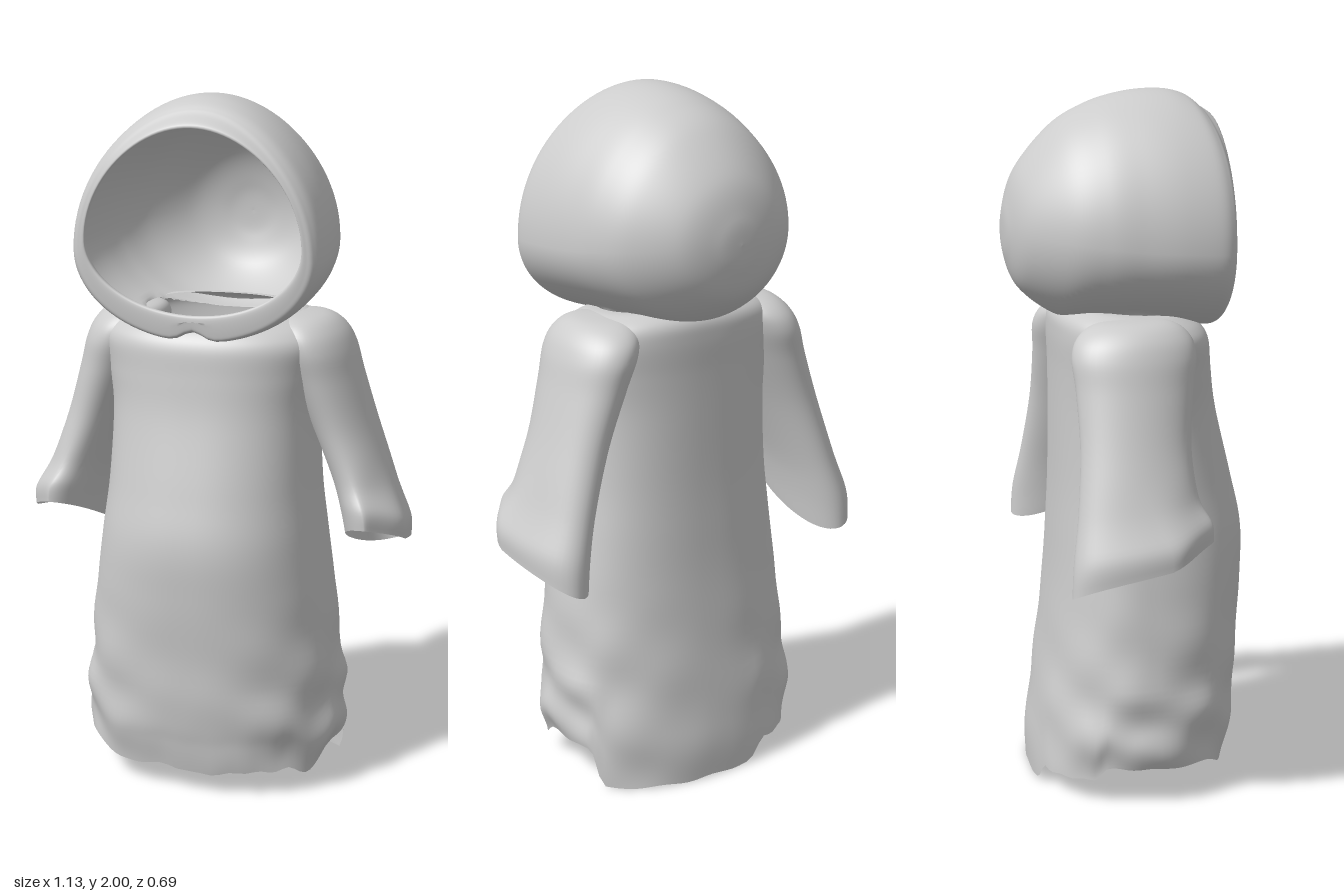
import * as THREE from 'three';

const cloth = new THREE.MeshStandardMaterial({ color: 0xcccccc, side: THREE.DoubleSide });
cloth.name = 'greyCloth';

// Smoothly interpolates every column of a list of rows, u in 0..1
function sampleRows(rows, u) {
  const f = u * (rows.length - 1);
  const i = Math.min(Math.floor(f), rows.length - 2);
  const t = f - i;
  const at = k => rows[Math.max(0, Math.min(rows.length - 1, k))];
  return rows[0].map((_, c) => {
    const [a, b, d, e] = [at(i - 1)[c], at(i)[c], at(i + 1)[c], at(i + 2)[c]];
    const m0 = (d - a) / 2, m1 = (e - b) / 2;
    return (2 * t ** 3 - 3 * t * t + 1) * b + (t ** 3 - 2 * t * t + t) * m0
      + (3 * t * t - 2 * t ** 3) * d + (t ** 3 - t * t) * m1;
  });
}

// Skins closed rings; point(row, angle) gives each vertex, skip(p) cuts holes
function loft(name, rows, steps, sides, point, skip = () => false) {
  const pts = [], index = [];
  for (let i = 0; i <= steps; i++) {
    const row = sampleRows(rows, i / steps);
    for (let j = 0; j < sides; j++) pts.push(point(row, (j / sides) * Math.PI * 2));
  }
  for (let i = 0; i < steps; i++) {
    for (let j = 0; j < sides; j++) {
      const a = i * sides + j, b = i * sides + (j + 1) % sides;
      const c = b + sides, d = a + sides;
      if ([a, b, c, d].every(k => skip(pts[k]))) continue;
      index.push(a, b, c, a, c, d);
    }
  }
  const geo = new THREE.BufferGeometry();
  geo.setAttribute('position', new THREE.Float32BufferAttribute(pts.flat(), 3));
  geo.setIndex(index);
  geo.computeVertexNormals();
  const mesh = new THREE.Mesh(geo, cloth);
  mesh.name = name;
  return mesh;
}

const power = (v, p) => Math.sign(v) * Math.abs(v) ** p;
const smooth = THREE.MathUtils.smoothstep;

// Ragged lower edge: high at the sides, longest at the back
function hemHeight(x, z) {
  const jag = 0.007 * Math.sin(x * 23 + z * 13) + 0.003 * Math.sin(x * 61 - z * 43);
  const back = smooth(-z, 0.12, 0.16);
  const trailing = back * smooth(x, -0.17, -0.1);
  const sides = 0.068 + 0.045 * smooth(Math.abs(x), 0.22, 0.38) * (1 - back);
  const corner = 0.06 * smooth(x, 0.27, 0.35) * smooth(z, 0.08, 0.18);
  return (sides - corner + jag) * (1 - trailing) + 0.003 * trailing * (1 + Math.sin(x * 40));
}

// Robe rows: y, half width, front z, back z
function makeRobe() {
  const rows = [
    [0, 0.375, 0.285, 0.28], [0.1, 0.385, 0.3, 0.278], [0.2, 0.382, 0.315, 0.268],
    [0.4, 0.368, 0.325, 0.242], [0.6, 0.345, 0.34, 0.222], [0.75, 0.325, 0.342, 0.213],
    [0.9, 0.307, 0.31, 0.207], [1.1, 0.3, 0.262, 0.205], [1.22, 0.315, 0.245, 0.205],
    [1.31, 0.33, 0.235, 0.207], [1.355, 0.305, 0.212, 0.2], [1.383, 0.25, 0.17, 0.17],
    [1.388, 0.21, 0.15, 0.14],
  ];
  return loft('robe', rows, 84, 96, ([y, w, front, back], a) => {
    const c = Math.cos(a);
    let x = w * power(Math.sin(a), 0.85);
    let z = (c > 0 ? front : back) * power(c, 0.85);
    // soft slanting folds, strongest low on the flanks
    const amount = 0.007 * (1 - smooth(y, 0.25, 0.65)) * (0.2 + 0.8 * Math.abs(Math.sin(a)));
    const fold = 1 + amount / w * (Math.sin(a * 4 + y * 26) + 0.5 * Math.sin(a * 7 - y * 19 + 1));
    x *= fold;
    z *= fold;
    const hem = hemHeight(x, z);
    // neckline dips a little towards the chest
    const dip = 0.07 * z * smooth(y, 1.25, 1.38);
    return [x, (y < 0.35 ? hem + y * (0.35 - hem) / 0.35 : y) - dip, z];
  });
}

// Sleeve rows: y, centre x, half width, centre z, half depth, tilt
function makeSleeve(side) {
  const rows = [
    [0.73, 0.475, 0.09, -0.047, 0.198, 0.35], [0.8, 0.467, 0.096, -0.045, 0.194, 0.26],
    [0.9, 0.43, 0.088, -0.05, 0.168, 0.12], [1.05, 0.375, 0.09, -0.045, 0.155, 0],
    [1.2, 0.32, 0.1, -0.035, 0.165, 0], [1.29, 0.288, 0.107, -0.03, 0.175, 0],
    [1.345, 0.265, 0.1, -0.025, 0.155, 0], [1.378, 0.25, 0.068, -0.02, 0.1, 0],
    [1.386, 0.24, 0, -0.02, 0, 0],
  ];
  return loft(side > 0 ? 'leftSleeve' : 'rightSleeve', rows, 48, 48,
    ([y, cx, w, cz, d, tilt], a) => {
      const s = Math.sin(a) * side, c = Math.cos(a);
      // cuff hangs lowest at the inner back, with its outer side set forward
      const droop = 0.03 * s * (1 - c) / 2 * (1 - smooth(y, 0.73, 0.85));
      const skew = 0.06 * Math.max(s, 0) * c * c * (1 - smooth(y, 0.75, 1.0));
      const forward = 0.06 * s * s * (1 - Math.abs(c)) * (1 - smooth(y, 0.75, 1.0)) * (s > 0 ? 1 : 0);
      return [side * (cx + w * s - skew * (c > 0 ? 1 : 0)), y + tilt * d * c + droop, cz + d * c + forward];
    });
}

// Hood rows, back to front and round the lip: z, half width, top y, bottom y, widest y
function makeHood() {
  const rows = [
    [-0.345, 0, 1.61, 1.61, 1.61], [-0.338, 0.075, 1.685, 1.535, 1.61], [-0.3, 0.178, 1.79, 1.445, 1.61],
    [-0.2, 0.281, 1.905, 1.37, 1.6], [-0.1, 0.33, 1.963, 1.355, 1.59], [0, 0.351, 1.992, 1.35, 1.58],
    [0.1, 0.363, 2.0, 1.342, 1.575], [0.2, 0.361, 1.988, 1.33, 1.57], [0.24, 0.345, 1.968, 1.33, 1.57],
    [0.25, 0.327, 1.95, 1.35, 1.58], [0.25, 0.313, 1.922, 1.402, 1.6], [0.225, 0.317, 1.925, 1.4, 1.6],
  ];
  // oval opening into the robe; vertices inside it are drawn out to its rim
  const neckRadius = ([x, y, z]) => (y < 1.5 ? Math.hypot(x / 0.21, (z - 0.01) / 0.15) : 2);
  return loft('hood', rows, 88, 96, ([z, w, top, bottom, wide], a) => {
    const s = Math.sin(a), up = Math.max(s, 0);
    const x = w * Math.cos(a) * (1 - 0.09 * up * up);
    let y = wide + s * (s > 0 ? top - wide : wide - bottom);
    // gap between the two collar ends under the chin
    if (s < 0) y += 0.03 * Math.exp(-((x / 0.04) ** 2)) * smooth(z, 0.17, 0.22) * smooth(-bottom, -1.39, -1.36);
    // brow edge set back from the cheeks, ahead of it only the inner lip
    const brow = 0.04 * up ** 4 * smooth(z, 0.1, 0.24) * smooth(top, 1.925, 1.965);
    const r = Math.max(neckRadius([x, y, z]), 0.01);
    return r < 1 ? [x / r, y, 0.01 + (z - 0.01) / r] : [x, y, z - brow];
  }, p => neckRadius(p) < 1.0001);
}

export function createModel() {
  const model = new THREE.Group();
  model.name = 'hoodedRobe';
  model.add(makeRobe(), makeHood(), makeSleeve(1), makeSleeve(-1));
  return model;
}
